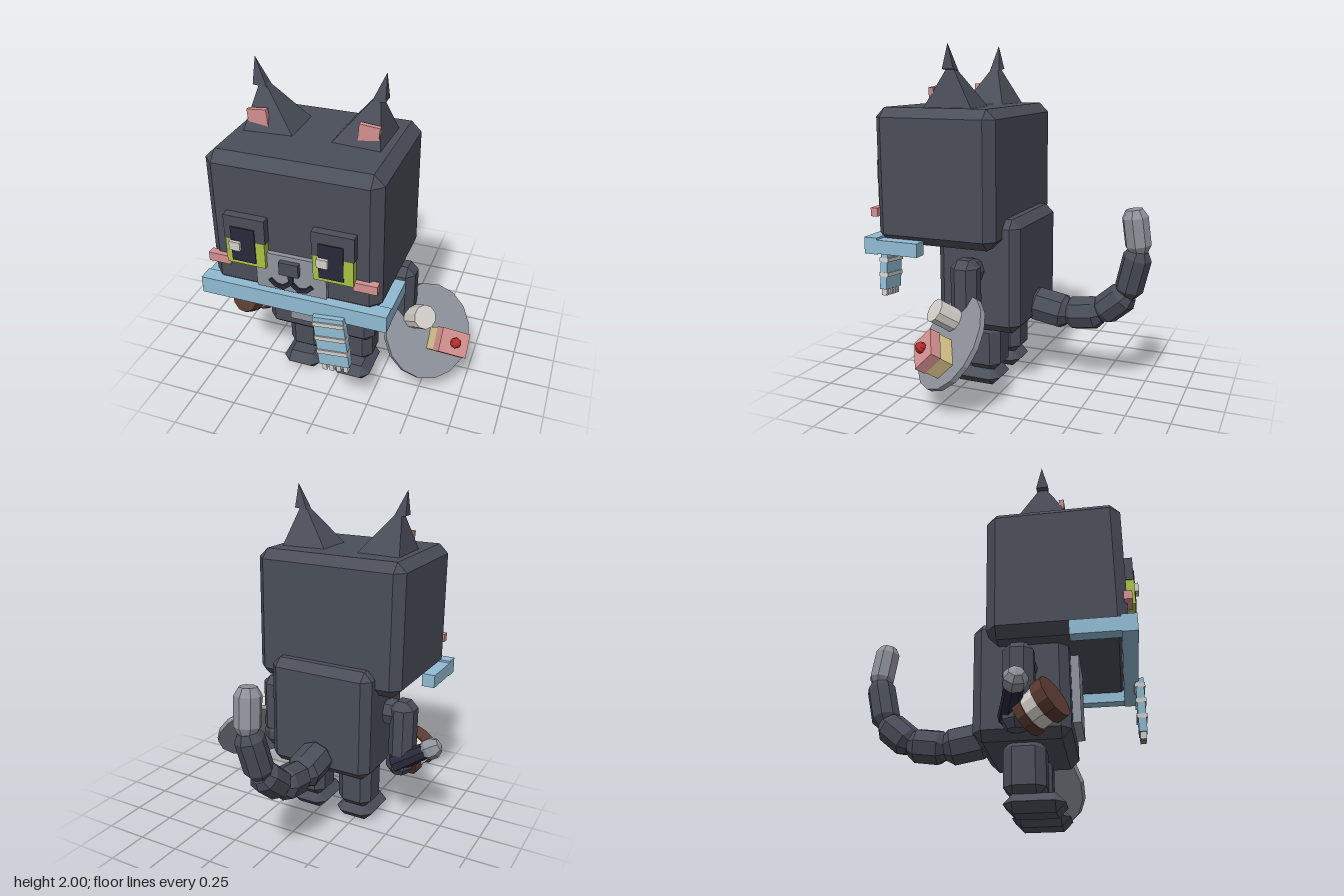
import * as THREE from 'three';
import { ConvexGeometry } from 'three/addons/geometries/ConvexGeometry.js';

const mat = (name, color) => {
  const m = new THREE.MeshStandardMaterial({ color });
  m.name = name;
  m.flatShading = true;
  return m;
};
const V = (x, y, z) => new THREE.Vector3(x, y, z);
const CX = -0.083; // middle of the body

// Box with all edges cut at 45 degrees
function chamferBox(w, h, d, c) {
  const pts = [];
  for (const x of [-1, 1]) for (const y of [-1, 1]) for (const z of [-1, 1]) {
    const a = x * w / 2, b = y * h / 2, e = z * d / 2;
    pts.push(V(a, b - y * c, e - z * c), V(a - x * c, b, e - z * c), V(a - x * c, b - y * c, e));
  }
  return new ConvexGeometry(pts);
}

export function createModel() {
  const root = new THREE.Group();
  root.name = 'cat';
  const fur = mat('charcoalFur', 0x4a4e59), grey = mat('grey', 0x8f939c), blue = mat('scarfBlue', 0x90bad2),
    pink = mat('pink', 0xd49090), green = mat('eyeGreen', 0xa8c244), navy = mat('navy', 0x28283a),
    white = mat('offWhite', 0xd4d0ca), brown = mat('brown', 0x5a3a30), cream = mat('cream', 0xdcc88c),
    red = mat('berryRed', 0xb8302a);

  const add = (name, geo, m, x = 0, y = 0, z = 0, parent = root) => {
    const mesh = new THREE.Mesh(geo, m);
    mesh.name = name;
    mesh.position.set(x, y, z);
    parent.add(mesh);
    return mesh;
  };
  // Box given by its limits, cut by c if c > 0
  const span = (name, m, x0, x1, y0, y1, z0, z1, c = 0) => {
    const s = [x1 - x0, y1 - y0, z1 - z0];
    return add(name, c ? chamferBox(...s, c) : new THREE.BoxGeometry(...s), m,
      (x0 + x1) / 2, (y0 + y1) / 2, (z0 + z1) / 2);
  };
  // Turn a mesh so that its y axis points along dir
  const aim = (mesh, dir) => mesh.quaternion.setFromUnitVectors(V(0, 1, 0), dir.clone().normalize());

  // Head and body
  span('head', fur, -0.55, 0.384, 0.87, 1.65, -0.02, 0.72, 0.055);
  span('body', fur, -0.41, 0.244, 0.36, 1.03, -0.11, 0.4, 0.05);
  span('belly', grey, -0.24, 0.074, 0.485, 0.88, 0.38, 0.445);

  // Eyes
  for (const x of [-0.318, 0.155]) {
    span('eyeLid', fur, x - 0.112, x + 0.112, 1.205, 1.34, 0.7, 0.765);
    span('eyeSide', fur, x - 0.103, x + 0.103, 1.07, 1.21, 0.7, 0.755);
    span('iris', green, x - 0.107, x + 0.107, 1.06, 1.205, 0.7, 0.766);
    span('pupil', navy, x - 0.075, x + 0.057, 1.08, 1.28, 0.762, 0.771);
    span('eyeGlint', white, x - 0.08, x - 0.02, 1.15, 1.2, 0.765, 0.788);
  }

  // Muzzle, nose, mouth
  span('muzzle', grey, -0.275, 0.11, 0.93, 1.145, 0.7, 0.745);
  span('nose', fur, -0.137, -0.031, 1.045, 1.12, 0.74, 0.772);
  span('mouthStem', navy, CX - 0.013, CX + 0.013, 0.975, 1.045, 0.74, 0.756);
  for (const s of [-1, 1]) {
    for (const [dx, y, a] of [[0.028, 0.966, -0.7], [0.064, 0.957, 0.15], [0.098, 0.973, 0.75]]) {
      add('mouthCurve', new THREE.BoxGeometry(0.05, 0.023, 0.016), navy, CX + s * dx, y, 0.748).rotation.z = s * a;
    }
  }

  for (const s of [-1, 1]) {
    const X = (d) => CX + s * d;
    add('cheek', new THREE.BoxGeometry(0.125, 0.05, 0.045), pink, X(0.4), 1.05, 0.725);

    // Ear: leaning pyramid with a small pointed tip
    add('ear', new ConvexGeometry([V(X(0.102), 1.645, 0.16), V(X(0.102), 1.645, 0.42), V(X(0.375), 1.645, 0.14),
      V(X(0.37), 1.645, 0.44), V(X(0.318), 1.9, 0.29)]), fur);
    add('earTip', new ConvexGeometry([V(X(0.355), 1.86, 0.255), V(X(0.355), 1.86, 0.325), V(X(0.28), 1.85, 0.26),
      V(X(0.28), 1.85, 0.32), V(X(0.35), 2.0, 0.29)]), fur);
    add('innerEar', new THREE.BoxGeometry(0.108, 0.095, 0.028), pink, X(0.298), 1.717, 0.397).rotation.z = -s * 0.1;

    // Leg and foot
    add('leg', chamferBox(0.22, 0.3, 0.22, 0.05), fur, X(0.16), 0.235, 0.15);
    add('foot', chamferBox(0.24, 0.1, 0.315, 0.0495), fur, X(0.16), 0.05, 0.197);

    // Shoulder, arm and paw
    add('shoulder', new THREE.SphereGeometry(0.085, 6, 4), fur, X(0.36), 0.73, 0.165);
    add('arm', chamferBox(0.15, 0.39, 0.16, 0.045), fur, X(0.437), 0.625, 0.155);
    add('paw', new THREE.SphereGeometry(0.085, 7, 5), fur, X(0.43), 0.43, 0.14);
  }

  // Scarf collar
  span('scarfFront', blue, -0.6, 0.435, 0.815, 0.912, 0.68, 0.762);
  span('scarfSideRight', blue, -0.6, -0.52, 0.82, 0.9, 0.42, 0.72);
  span('scarfSideLeft', blue, 0.355, 0.435, 0.82, 0.9, 0.42, 0.72);

  // Hanging scarf end with stripes and fringe
  const scarfEnd = new THREE.Group();
  scarfEnd.name = 'scarfEnd';
  scarfEnd.position.set(0.145, 0.69, 0.768);
  scarfEnd.rotation.z = 0.11;
  root.add(scarfEnd);
  add('scarfCloth', new THREE.BoxGeometry(0.17, 0.31, 0.045), blue, 0, 0, 0, scarfEnd);
  for (const y of [0.115, 0.025, -0.065]) {
    add('scarfStripe', new THREE.BoxGeometry(0.172, 0.024, 0.06), white, 0, y, 0, scarfEnd);
  }
  for (let i = 0; i < 4; i++) {
    add('scarfFringe', new THREE.BoxGeometry(0.025, 0.05, 0.035), white, -0.06 + i * 0.04, -0.17, 0, scarfEnd);
  }

  // Tail: bevelled segments along a rising curve
  const path = [V(-0.085, 0.47, -0.08), V(-0.085, 0.43, -0.31), V(-0.08, 0.46, -0.51),
    V(-0.06, 0.6, -0.67), V(-0.03, 0.86, -0.735), V(-0.02, 1.09, -0.705)];
  for (let i = 0; i < 5; i++) {
    const d = path[i + 1].clone().sub(path[i]), len = d.length() + 0.02, r = 0.107 - i * 0.008;
    const p = path[i].clone().add(path[i + 1]).multiplyScalar(0.5);
    const profile = [[0, -len / 2], [r * 0.65, -len / 2], [r, -len / 2 + 0.045],
      [r, len / 2 - 0.045], [r * 0.65, len / 2], [0, len / 2]].map(([a, b]) => new THREE.Vector2(a, b));
    aim(add(i < 4 ? 'tailSegment' : 'tailTip', new THREE.LatheGeometry(profile, 8), i < 4 ? fur : grey, p.x, p.y, p.z), d);
  }

  // Mallet in the right paw: banded drum, dark handle, grey knob
  const axis = V(-0.4, 0.4, 0.83).normalize(), face = V(-0.59, 0.5, 0.34);
  for (const [name, m, r, from, to] of [['drumFront', brown, 0.117, 0, 0.065],
    ['drumBand', white, 0.1, 0.065, 0.14], ['drumBack', brown, 0.11, 0.14, 0.19]]) {
    const p = face.clone().addScaledVector(axis, -(from + to) / 2);
    aim(add(name, new THREE.CylinderGeometry(r, r, to - from, 12), m, p.x, p.y, p.z), axis);
  }
  const knob = V(-0.695, 0.55, 0.16), grip = V(-0.49, 0.43, 0.1), hd = knob.clone().sub(grip);
  const hp = knob.clone().add(grip).multiplyScalar(0.5);
  aim(add('handle', new THREE.CylinderGeometry(0.045, 0.06, hd.length(), 8), navy, hp.x, hp.y, hp.z), hd);
  aim(add('handleKnob', new THREE.SphereGeometry(0.068, 7, 5), grey, knob.x, knob.y, knob.z), hd);

  // Tilted plate with cake and cup in the left paw
  const plate = new THREE.Group();
  plate.name = 'plateGroup';
  const n = V(0.62, 0.55, 0.55).normalize(), e1 = V(0, Math.SQRT1_2, -Math.SQRT1_2);
  plate.quaternion.setFromRotationMatrix(new THREE.Matrix4().makeBasis(e1, n, e1.clone().cross(n)));
  plate.position.set(0.515, 0.385, 0.175);
  root.add(plate);
  add('plate', new THREE.CylinderGeometry(0.28, 0.28, 0.03, 16), grey, 0, 0, 0, plate);
  add('cup', new THREE.CylinderGeometry(0.07, 0.07, 0.14, 10), white, 0.057, 0.08, -0.115, plate);
  add('cakeBase', new THREE.BoxGeometry(0.13, 0.085, 0.18), cream, -0.04, 0.055, 0.1, plate);
  add('cakeIcing', new THREE.BoxGeometry(0.14, 0.065, 0.185), pink, -0.04, 0.13, 0.1, plate);
  add('berry', new THREE.SphereGeometry(0.032, 8, 6), red, -0.04, 0.175, 0.1, plate);

  return root;
}
